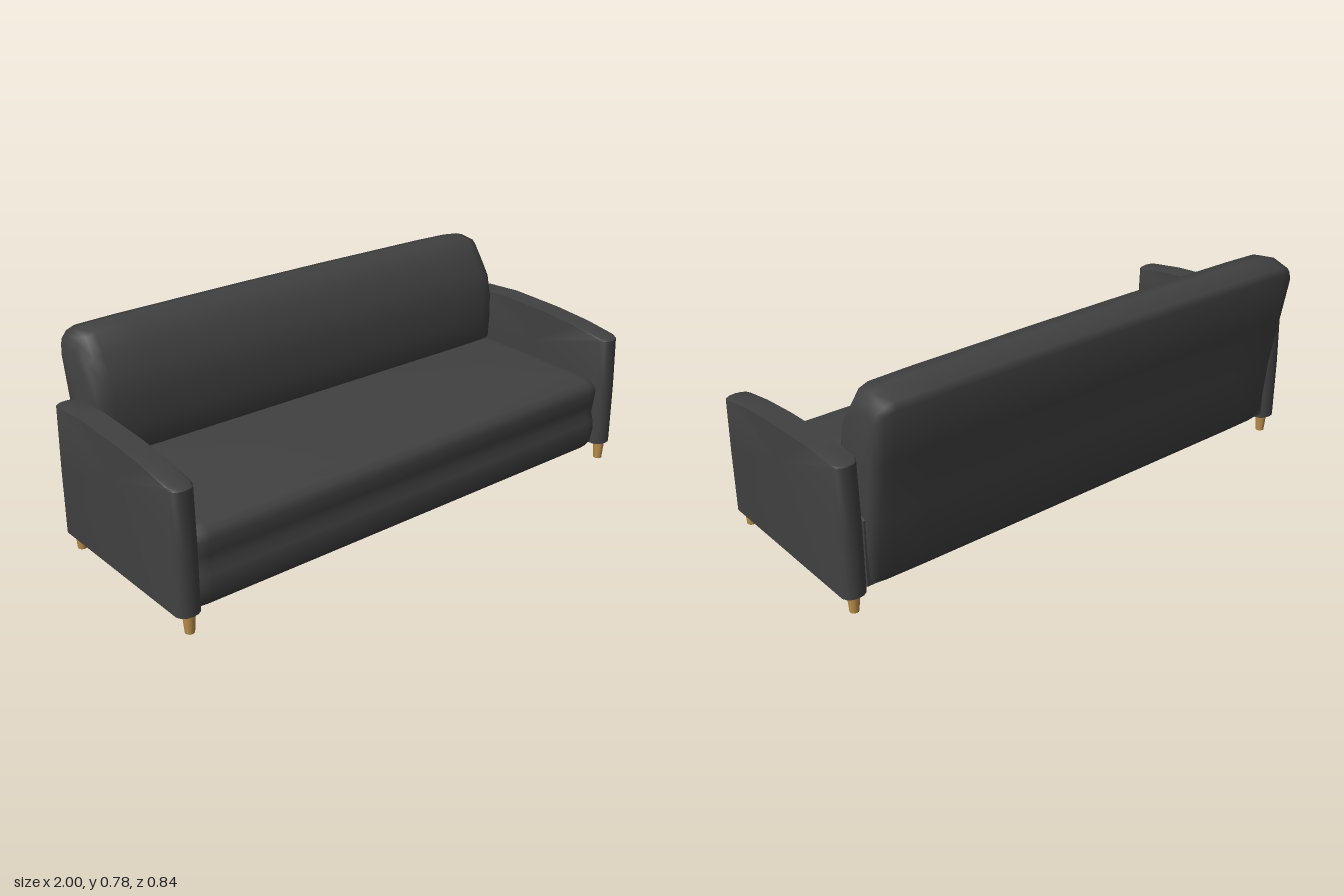
import * as THREE from 'three';
import { toCreasedNormals, mergeVertices } from 'three/addons/utils/BufferGeometryUtils.js';

// Joins copies of a side profile ([z, y], front bottom -> top -> back) placed along x.
// Each section is { x, ...options }, and shape(z, y, section) bends the profile there.
function loft(profile, sections, shape, crease) {
  const pos = [], index = [], n = profile.length;
  for (const s of sections) {
    for (const [z, y] of profile) {
      const [zz, yy] = shape(z, y, s);
      pos.push(s.x, yy, zz);
    }
  }
  for (let i = 0; i < sections.length - 1; i++) {
    for (let j = 0; j < n; j++) {
      const a = i * n + j, b = i * n + (j + 1) % n;
      index.push(a, a + n, b, b, a + n, b + n);
    }
  }
  // end caps
  for (const end of [0, sections.length - 1]) {
    const c = pos.length / 3, o = end * n;
    let cy = 0, cz = 0;
    for (let j = 0; j < n; j++) {
      cy += pos[(o + j) * 3 + 1] / n;
      cz += pos[(o + j) * 3 + 2] / n;
    }
    pos.push(sections[end].x, cy, cz);
    for (let j = 0; j < n; j++) {
      const a = o + j, b = o + (j + 1) % n;
      if (end === 0) index.push(c, a, b); else index.push(c, b, a);
    }
  }
  const g = new THREE.BufferGeometry();
  g.setAttribute('position', new THREE.Float32BufferAttribute(pos, 3));
  g.setIndex(index);
  return toCreasedNormals(g, crease);
}

// Mirrors a half list of sections (outermost first) to both sides of x = 0
function mirrored(half) {
  return [...half.map(s => ({ ...s, x: -s.x })), ...half.slice().reverse()];
}

export function createModel() {
  const fabric = new THREE.MeshStandardMaterial({ color: 0x414141 });
  const wood = new THREE.MeshStandardMaterial({ color: 0xbb8f4c });
  const lining = new THREE.MeshStandardMaterial({ color: 0xaa7f5a });
  fabric.name = 'charcoal fabric';
  wood.name = 'light wood';
  lining.name = 'brown lining';

  const sofa = new THREE.Group();
  sofa.name = 'sofa';
  const add = (name, geometry, material) => {
    const m = new THREE.Mesh(geometry, material);
    m.name = name;
    sofa.add(m);
    return m;
  };

  // Seat: soft upper cushion over a rounded lower front
  const seatProfile = [
    [0.365, 0.055], [0.385, 0.08], [0.395, 0.13], [0.392, 0.17], [0.382, 0.2],
    [0.388, 0.24], [0.395, 0.29], [0.388, 0.32], [0.365, 0.335], [0.3, 0.343],
    [0.05, 0.35], [-0.22, 0.355], [-0.31, 0.34], [-0.31, 0.09], [-0.26, 0.055],
  ];
  const seatEnds = mirrored([{ x: 0.918, d: 0.012 }, { x: 0.9, d: 0.003 }, { x: 0.87, d: 0 }]);
  add('seat', loft(seatProfile, seatEnds,
    (z, y, s) => [z > 0.3 ? z - s.d : z, y > 0.3 ? y - s.d : y], 0.95), fabric);

  // Backrest: leaning slab with rounded upper corners
  const backProfile = [
    [-0.19, 0.335], [-0.172, 0.36], [-0.167, 0.45], [-0.17, 0.55], [-0.188, 0.64],
    [-0.225, 0.705], [-0.265, 0.77], [-0.33, 0.78], [-0.41, 0.757], [-0.417, 0.728],
    [-0.387, 0.54], [-0.35, 0.33], [-0.33, 0.115], [-0.31, 0.085], [-0.27, 0.085],
  ];
  const backEnds = mirrored([
    { x: 0.912, drop: 0.075, inset: 0.03 }, { x: 0.903, drop: 0.042, inset: 0.014 },
    { x: 0.88, drop: 0.018, inset: 0.006 }, { x: 0.845, drop: 0.007, inset: 0.002 },
    { x: 0.7, drop: 0.004, inset: 0 }, { x: 0.2, drop: 0, inset: 0 },
  ]);
  add('backrest', loft(backProfile, backEnds, (z, y, s) => {
    const t = THREE.MathUtils.clamp((y - 0.45) / 0.33, 0, 1);
    const middle = -0.24 - 0.13 * THREE.MathUtils.clamp((y - 0.3) / 0.48, 0, 1);
    return [z + Math.sign(middle - z) * s.inset, y - s.drop * t];
  }, 1.2), fabric);

  // Arms: slim panels with a gently rising top and rounded front and back edges
  const armProfile = [
    [0.418, 0.07], [0.418, 0.3], [0.412, 0.495], [0.4, 0.503], [0.27, 0.523], [0.1, 0.538],
    [-0.14, 0.548], [-0.305, 0.54], [-0.312, 0.535], [-0.32, 0.3], [-0.32, 0.07],
  ];
  const armSections = [
    { x: 0.914, d: 0.03 }, { x: 0.922, d: 0.013 }, { x: 0.937, d: 0.003 },
    { x: 0.957, d: 0 }, { x: 0.977, d: 0.003 }, { x: 0.992, d: 0.013 }, { x: 1, d: 0.03 },
  ];
  const armShape = (z, y, s) => {
    const c = 0.05;
    return [c + (z - c) * (1 - s.d / 0.37), y];
  };
  const flipped = armSections.map(s => ({ ...s, x: -s.x })).reverse();
  add('leftArm', loft(armProfile, armSections, armShape, 0.75), fabric);
  add('rightArm', loft(armProfile, flipped, armShape, 0.75), fabric);

  // Tapered legs under the arms
  const legGeometry = new THREE.CylinderGeometry(0.022, 0.016, 0.075, 12);
  for (const x of [-0.955, 0.955]) {
    for (const z of [0.388, -0.281]) {
      const leg = add((z > 0 ? 'front' : 'back') + (x > 0 ? 'LeftLeg' : 'RightLeg'), legGeometry, wood);
      leg.position.set(x, 0.0375, z);
    }
  }

  // Lined deck inside the seat, showing through the underside; soft shared corner normals
  const box = new THREE.BoxGeometry(1.56, 0.22, 0.36);
  box.deleteAttribute('normal');
  box.deleteAttribute('uv');
  const deck = mergeVertices(box);
  deck.computeVertexNormals();
  add('undersideLining', deck, lining).position.set(-0.03, 0.162, 0.122);

  return sofa;
}
